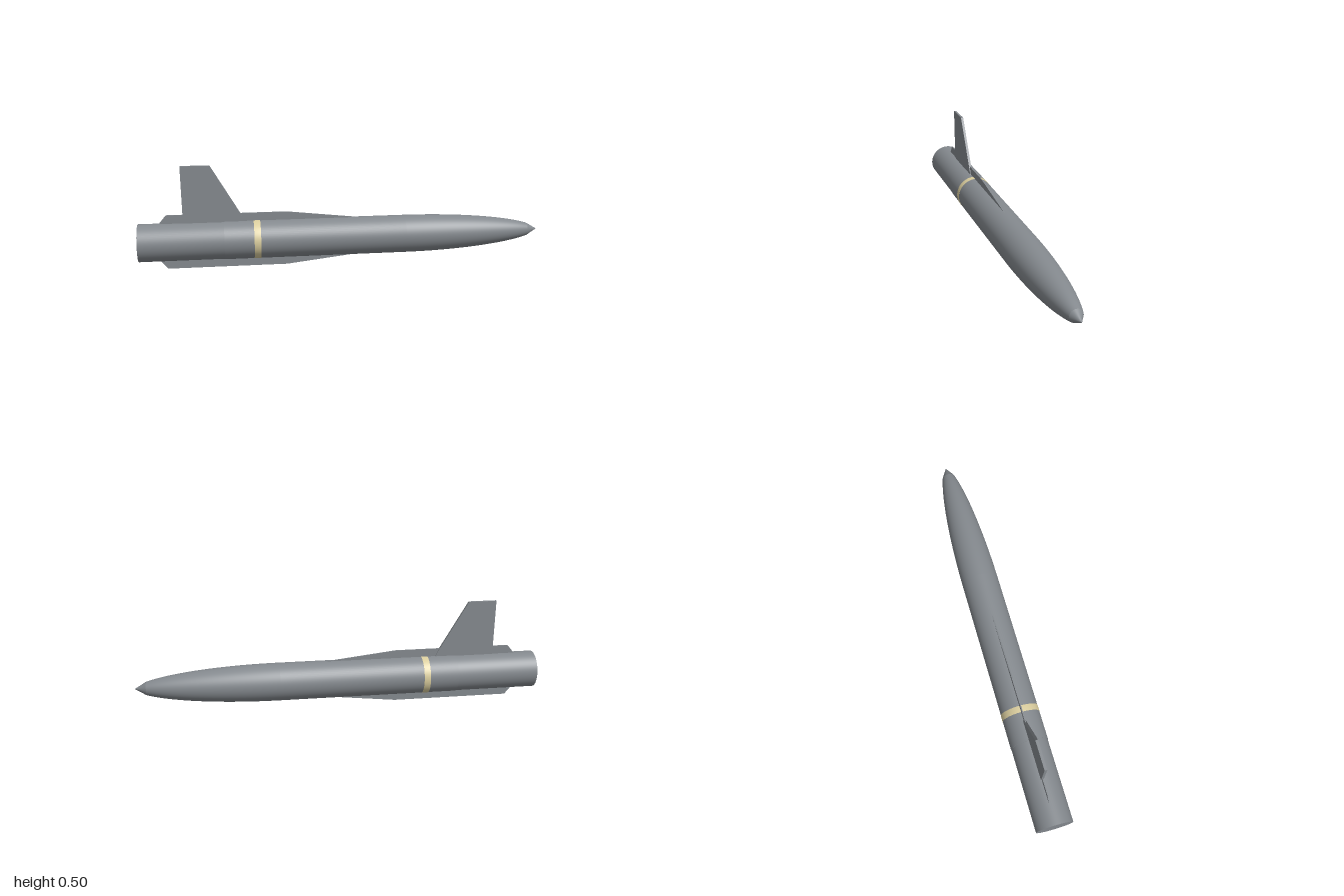
import * as THREE from 'three';

const AXIS_Y = 0.133;

export function createModel() {
  const group = new THREE.Group();
  const grey = new THREE.MeshStandardMaterial({ color: 0x858a8f });
  grey.name = 'hull grey';
  const cream = new THREE.MeshStandardMaterial({ color: 0xdccf9f });
  cream.name = 'band cream';

  function add(name, geometry, material) {
    const mesh = new THREE.Mesh(geometry, material);
    mesh.name = name;
    group.add(mesh);
    return mesh;
  }

  // Revolve [x, radius] points around the long axis
  function revolve(name, points, material) {
    const geometry = new THREE.LatheGeometry(points.map(([x, r]) => new THREE.Vector2(r, x)), 64);
    geometry.rotateZ(-Math.PI / 2);
    add(name, geometry, material).position.y = AXIS_Y;
  }

  // Flat plate with its outline in x and y, centred on z
  function plate(name, outline, thickness) {
    const shape = new THREE.Shape(outline.map(([x, y]) => new THREE.Vector2(x, y)));
    const geometry = new THREE.ExtrudeGeometry(shape, { depth: thickness, bevelEnabled: false });
    geometry.translate(0, 0, -thickness / 2);
    add(name, geometry, grey);
  }

  // Booster tube and slightly wider main tube
  revolve('tailTube', [[-1, 0.0915], [-0.59, 0.0915]], grey);
  revolve('tailCap', [[-1, 0], [-1, 0.0915]], grey);
  revolve('stepRing', [[-0.59, 0.0915], [-0.59, 0.0935]], grey);
  revolve('mainTube', [[-0.59, 0.0935], [0.3, 0.0935]], grey);

  // Elliptical nose ending in a short cone
  const nose = [];
  for (let i = 0; i <= 24; i++) {
    const t = (i / 24) * 0.92;
    nose.push([0.3 + 0.7 * t, 0.0935 * Math.pow(1 - t * t, 0.56)]);
  }
  revolve('nose', nose, grey);
  revolve('noseTip', [nose[24], [1, 0]], grey);

  // Painted band
  revolve('band', [[-0.447, 0.0935], [-0.447, 0.0946], [-0.415, 0.0946], [-0.415, 0.0935]], cream);

  // Long strakes above and below the hull
  const strake = [[-0.9, 0.08], [-0.9, 0.091], [-0.865, 0.133], [-0.285, 0.133], [0.07, 0.093], [0.07, 0.08]];
  for (const [name, side] of [['upperStrake', 1], ['lowerStrake', -1]]) {
    plate(name, strake.map(([x, y]) => [x, AXIS_Y + side * y]), 0.005);
  }

  // Swept tail fin
  plate('tailFin', [[-0.785, 0.215], [-0.485, 0.215], [-0.5, 0.25], [-0.65, 0.503], [-0.79, 0.503]], 0.0125);

  return group;
}
